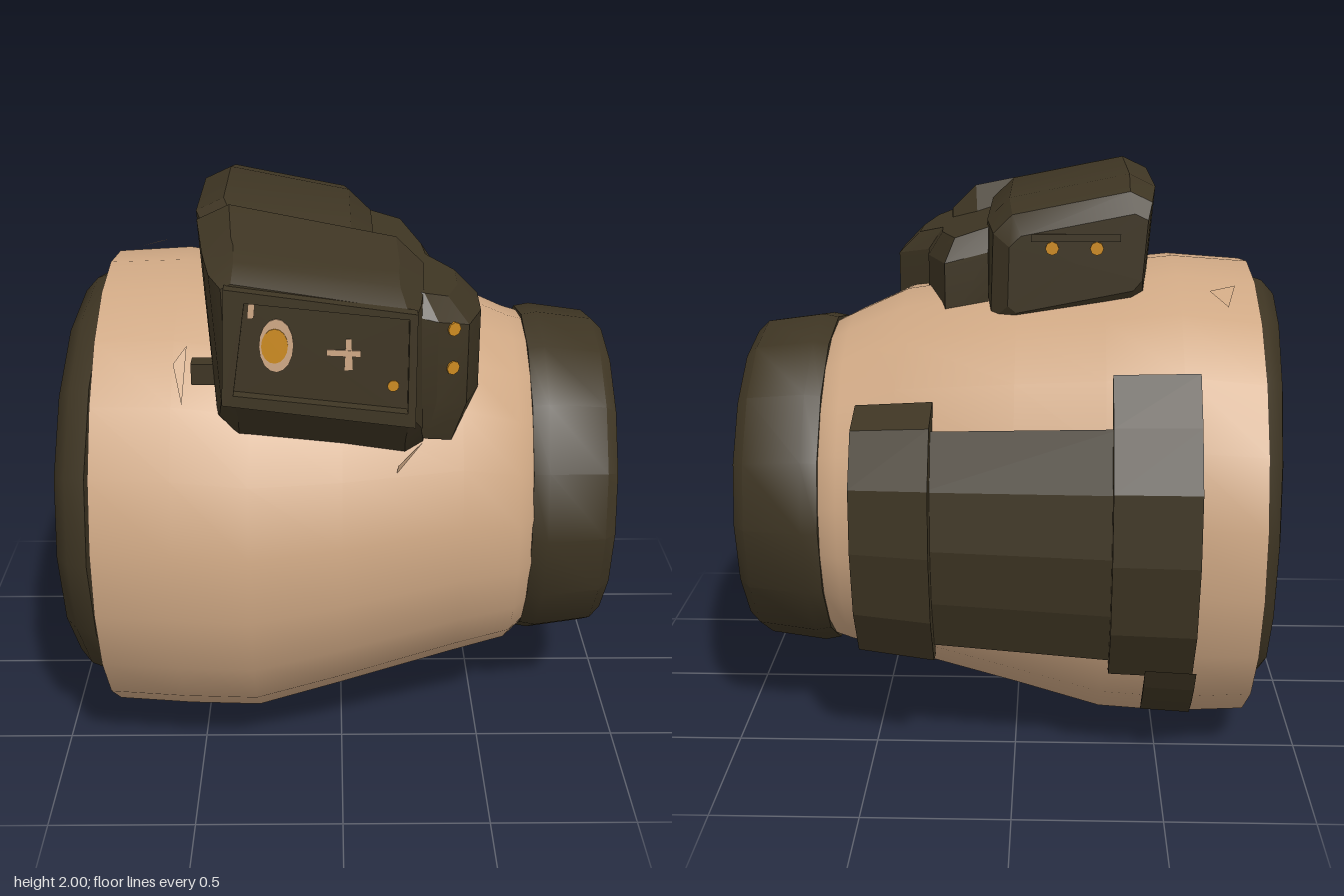
import * as THREE from 'three';
import { toCreasedNormals } from 'three/addons/utils/BufferGeometryUtils.js';

const mat = (name, color) => {
  const m = new THREE.MeshStandardMaterial({ color, side: THREE.DoubleSide });
  m.name = name;
  return m;
};

function triangles(pos) {
  const g = new THREE.BufferGeometry();
  g.setAttribute('position', new THREE.Float32BufferAttribute(pos, 3));
  g.computeVertexNormals();
  return g;
}

// Skin a list of equal-length point rings, with optional end caps
function loft(rings, crease, caps = true) {
  const pos = [];
  const tri = (...pts) => pts.forEach((p) => pos.push(...p));
  const n = rings[0].length;
  for (let i = 0; i < rings.length - 1; i++) {
    for (let j = 0; j < n; j++) {
      const k = (j + 1) % n;
      const a = rings[i][j], b = rings[i][k], c = rings[i + 1][k], d = rings[i + 1][j];
      tri(a, b, c);
      tri(a, c, d);
    }
  }
  const cap = (ring, flip) => {
    const mid = [0, 1, 2].map((q) => ring.reduce((s, p) => s + p[q], 0) / n);
    ring.forEach((p, j) => {
      const next = ring[(j + 1) % n];
      flip ? tri(mid, next, p) : tri(mid, p, next);
    });
  };
  if (caps) {
    cap(rings[0], true);
    cap(rings[rings.length - 1], false);
  }
  return toCreasedNormals(triangles(pos), crease);
}

// Oval ring around the x axis; bulge squares off the back, tilt leans it with z
function ring(x, top, bottom, front, back, n, bulge = 0, tilt = 0) {
  return Array.from({ length: n }, (_, i) => {
    const t = (i / n) * Math.PI * 2;
    const s = Math.sin(t) < 0 ? 1 + bulge * Math.sin(2 * t) ** 2 : 1;
    const y = (top + bottom) / 2 + s * Math.cos(t) * (top - bottom) / 2;
    const z = (front + back) / 2 + s * Math.sin(t) * (front - back) / 2;
    return [x + tilt * z, y, z];
  });
}

// Housing slopes down toward +x, and its front face leans back toward +x
const slopeY = (x) => -0.2 * (x + 0.34);
const slopeZ = (x) => -0.13 * (x + 0.34);

// Chamfered section of the housing; c is the chamfer height
function section(z, xl, xr, yb, yt, c) {
  const w = c * 1.5;
  return [
    [xr, yb + c], [xr - c * 0.2, yt - c], [xr - w, yt], [xl + w, yt],
    [xl, yt - c], [xl + c * 0.5, yb + c], [xl + w, yb], [xr - c, yb],
  ].map(([x, y]) => [x, y + slopeY(x), z + (z > 0.55 ? slopeZ(x) : 0)]);
}

const poly = (pts) => new THREE.Shape(pts.map(([x, y]) => new THREE.Vector2(x, y)));
const oval = (x, y, rx, ry) => new THREE.Shape().absellipse(x, y, rx, ry, 0, Math.PI * 2);

// Unit arc in degrees; angle 0 faces the back, -90 faces down
const arc = (a0, a1, steps) => Array.from({ length: steps + 1 }, (_, i) => {
  const a = THREE.MathUtils.degToRad(a0 + ((a1 - a0) * i) / steps);
  return [Math.cos(a), Math.sin(a)];
});

// Plate wrapped on the sleeve: profile run along x, scaled from s0 to s1
function band(x0, x1, s0, s1, profile) {
  const g = new THREE.ExtrudeGeometry(poly(profile), { depth: x1 - x0, bevelEnabled: false });
  g.rotateY(Math.PI / 2);
  const p = g.attributes.position;
  for (let i = 0; i < p.count; i++) {
    const s = s0 + ((s1 - s0) * p.getX(i)) / (x1 - x0);
    p.setXYZ(i, p.getX(i) + x0, p.getY(i) * s + 0.86, p.getZ(i) * s);
  }
  g.computeVertexNormals();
  return g;
}

// Extruded outline laid on the leaning front face
function facePlate(shape, z, depth) {
  const g = new THREE.ExtrudeGeometry(shape, { depth, bevelEnabled: false, curveSegments: 8 });
  const p = g.attributes.position;
  for (let i = 0; i < p.count; i++) p.setZ(i, p.getZ(i) + z + slopeZ(p.getX(i)));
  g.computeVertexNormals();
  return g;
}

export function createModel() {
  const tan = mat('tan cloth', 0xcfa884);
  const dark = mat('dark olive', 0x3e3523);
  const orange = mat('orange', 0xcc8a20);
  const group = new THREE.Group();
  const add = (name, geo, material, parent = group) => {
    const m = new THREE.Mesh(geo, material);
    m.name = name;
    parent.add(m);
    return m;
  };

  // Tapered sleeve, its ends buried in the cuffs
  add('sleeve', loft([
    [-0.83, 1.56, 0.16, 0.67, -0.71, 22, 0],
    [-0.815, 1.675, 0.01, 0.845, -0.855, 22, 0.01],
    [-0.55, 1.69, 0.005, 0.875, -0.84, 22, 0.035],
    [-0.3, 1.66, 0.008, 0.88, -0.80, 22, 0.035],
    [0, 1.62, 0.095, 0.83, -0.76, 22, 0.03],
    [0.4, 1.565, 0.19, 0.71, -0.68, 22, 0.01],
    [0.6, 1.475, 0.235, 0.64, -0.63, 22, 0],
    [0.66, 1.45, 0.265, 0.565, -0.615, 22, 0],
    [0.7, 1.40, 0.32, 0.52, -0.57, 22, 0],
  ].map((r) => ring(...r)), 1.2, false), tan);

  // Small pointed folds standing off the cloth
  for (const corners of [
    [0.17, 1.13, 0.69, 0.27, 1.26, 0.62, 0.18, 1.21, 0.71],
    [-0.54, 1.53, 0.62, -0.51, 1.42, 0.70, -0.5, 1.57, 0.56],
    [-0.74, 1.645, -0.3, -0.645, 1.645, -0.39, -0.70, 1.61, -0.48]]) {
    add('clothFold', triangles(corners), tan);
  }

  // Wrist and elbow cuffs with recessed ends
  const cuff = (name, profile, tilt) => add(name, loft(profile.map(([x, r]) =>
    ring(x, 0.86 + r, 0.86 - r, r - 0.025, -r - 0.025, 16, 0, tilt)), 0.7), dark);
  cuff('wristCuff', [[0.655, 0.607], [0.71, 0.617], [0.91, 0.59],
    [0.95, 0.55], [0.945, 0.45], [0.73, 0.39]], -0.01);
  cuff('elbowCuff', [[-0.64, 0.51], [-0.89, 0.56], [-0.925, 0.62], [-0.915, 0.70],
    [-0.87, 0.75], [-0.80, 0.775]], -0.06);

  // Plates and clamps on the back and underside
  const lower = [[0.68, -0.47], [0.75, -0.46], [0.865, -0.26], [0.91, 0], [0.89, 0.24]];
  const narrow = [...lower, [0.78, 0.43], [0.62, 0.48]];
  const wide = [...lower, [0.79, 0.43], [0.67, 0.575], [0.6, 0.5]];
  add('backPanel', band(-0.34, 0.3, 0.84, 0.78, arc(-29, 29, 4)), dark);
  add('wideClamp', band(-0.6, -0.32, 1, 0.985, wide), dark);
  add('clampTail', band(-0.61, -0.44, 0.9, 0.89, arc(-48, -28, 3)), dark);
  add('narrowClamp', band(0.27, 0.53, 0.935, 0.89, narrow), dark);
  add('undersidePatch', band(0.15, 0.5, 0.73, 0.668, arc(-102, -70, 3)), dark);

  // Instrument housing
  const device = new THREE.Group();
  device.name = 'instrument';
  group.add(device);
  add('rearHousing', loft([
    section(-0.33, -0.44, 0.03, 1.62, 1.88, 0.03),
    section(-0.28, -0.455, 0.09, 1.55, 1.95, 0.05),
    section(-0.1, -0.475, 0.12, 1.5, 1.985, 0.06),
    section(0.36, -0.47, 0.12, 1.4, 1.995, 0.06),
    section(0.5, -0.42, 0.12, 1.4, 1.95, 0.06),
  ], 0.4), dark, device);
  add('frontHousing', loft([
    section(0.31, -0.455, 0.27, 1.42, 1.88, 0.07),
    section(0.41, -0.465, 0.28, 1.39, 1.99, 0.07),
    section(0.65, -0.43, 0.27, 1.30, 1.955, 0.06),
    section(0.7, -0.42, 0.265, 1.32, 1.945, 0.06),
    section(0.8, -0.40, 0.25, 1.42, 1.925, 0.05),
    section(0.87, -0.36, 0.225, 1.5, 1.88, 0.02),
  ], 0.4), dark, device);

  // Screen frame and its markings
  const frame = poly([[-0.365, 1.51], [0.225, 1.40], [0.225, 1.77], [-0.35, 1.875]]);
  frame.holes.push(poly([[-0.33, 1.54], [-0.29, 1.83], [0.2, 1.755], [0.2, 1.45]]));
  add('screenFrame', facePlate(frame, 0.865, 0.045), dark, device);
  add('dialRing', facePlate(oval(-0.2, 1.68, 0.052, 0.085), 0.868, 0.006), tan, device);
  add('dial', facePlate(oval(-0.205, 1.68, 0.04, 0.055), 0.871, 0.006), orange, device);
  add('markBar', facePlate(poly([[-0.05, 1.64], [0.055, 1.63], [0.055, 1.65], [-0.05, 1.66]]),
    0.868, 0.006), tan, device);
  add('markStem', facePlate(poly([[0.005, 1.59], [0.03, 1.59], [0.025, 1.69], [0.01, 1.69]]),
    0.868, 0.005), tan, device);
  add('screenLight', facePlate(oval(0.155, 1.53, 0.018, 0.018), 0.868, 0.006), orange, device);
  add('screenTick', facePlate(poly([[-0.285, 1.77], [-0.265, 1.77], [-0.26, 1.82], [-0.28, 1.82]]),
    0.868, 0.006), tan, device);

  // Side pod: plan outline skinned from top to bottom
  const plan = [[0.1, -0.22], [0.25, -0.23], [0.33, 0.05], [0.34, 0.18], [0.46, 0.27],
    [0.455, 0.45], [0.40, 0.63], [0.30, 0.68], [0.1, 0.68]];
  add('sidePod', loft([[1.77, 0.78], [1.69, 1], [1.42, 1], [1.28, 0.86]].map(([y, s]) =>
    plan.map(([x, z]) => [0.1 + (x - 0.1) * s, y - 0.25 * (x - 0.3), 0.25 + (z - 0.25) * (s + 1) / 2])),
  0.4), dark, device);
  const light = (name, x, y, z, turn) => {
    const geo = new THREE.CylinderGeometry(0.023, 0.023, 0.01, 8).rotateX(Math.PI / 2);
    const b = add(name, geo, orange, device);
    b.position.set(x, y, z);
    b.rotation.y = turn;
  };
  for (const y of [1.66, 1.53]) light('podButton', 0.35, y, 0.656, 0.46);
  add('sideKnob', new THREE.BoxGeometry(0.08, 0.07, 0.06), dark, device).position.set(-0.44, 1.51, 0.63);

  // Rear lights beneath a small brow
  add('rearBrow', new THREE.BoxGeometry(0.3, 0.025, 0.02), dark, device).position.set(-0.2, 1.81, -0.325);
  for (const x of [-0.12, -0.27]) light('rearLight', x, 1.775, -0.332, 0);
  return group;
}
